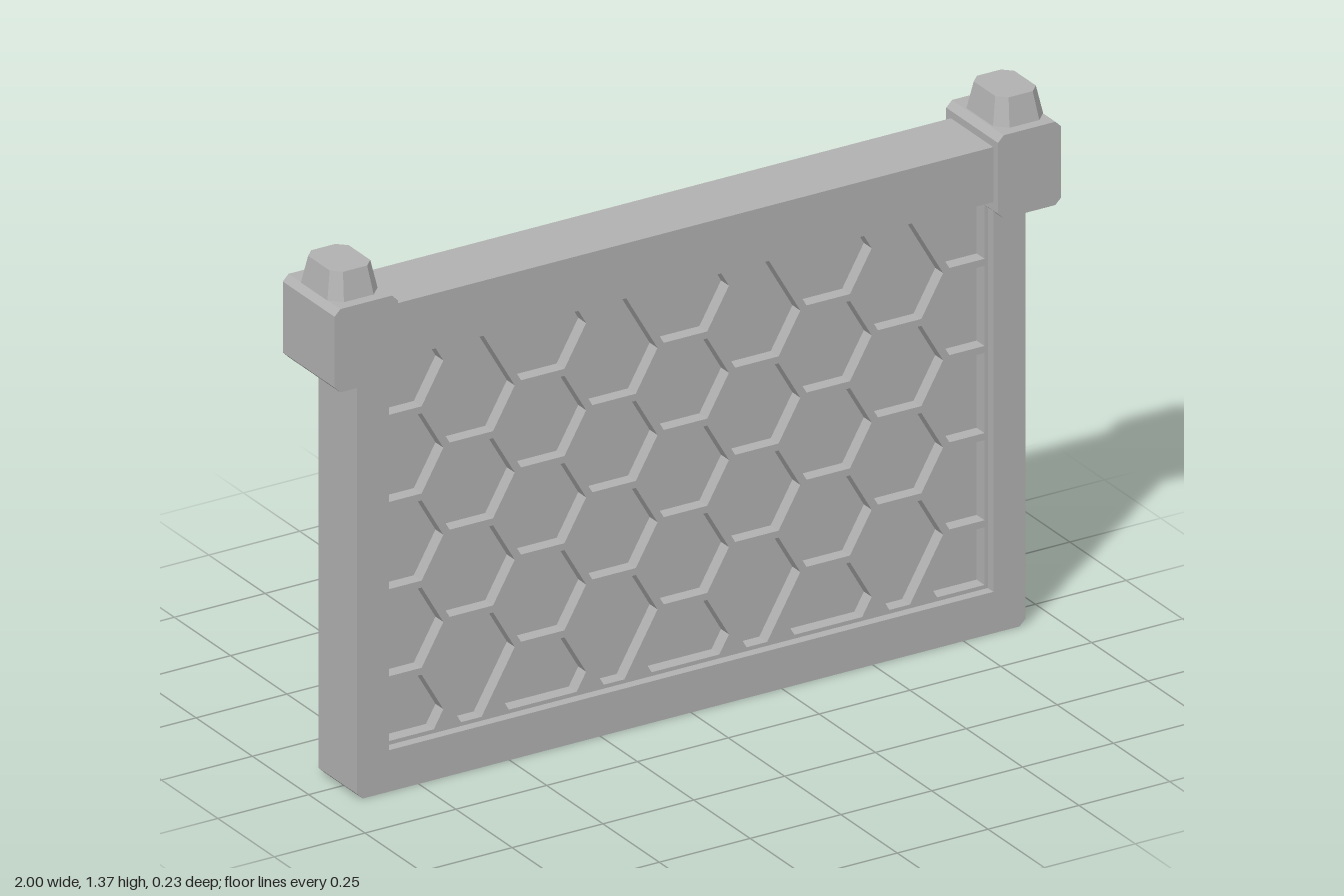
import * as THREE from 'three';

const stone = new THREE.MeshStandardMaterial({ color: 0xb0b0b0 });
stone.name = 'greyStone';

const toVecs = (pts) => pts.map(([x, y]) => new THREE.Vector2(x, y));

// Rectangle outline with cut corners
function cutRect(x0, y0, x1, y1, cb, ct = cb) {
  const pts = [[x0 + cb, y0], [x1 - cb, y0], [x1, y0 + cb]];
  pts.push([x1, y1 - ct], [x1 - ct, y1], [x0 + ct, y1], [x0, y1 - ct], [x0, y0 + cb]);
  return pts;
}
const rect = (x0, y0, x1, y1) => [[x0, y0], [x1, y0], [x1, y1], [x0, y1]];

// Extrude an outline symmetrically about z = 0
function slab(outline, holes, halfDepth) {
  const shape = new THREE.Shape(toVecs(outline));
  for (const h of holes) shape.holes.push(new THREE.Path(toVecs(h)));
  const geo = new THREE.ExtrudeGeometry(shape, { depth: 2 * halfDepth, bevelEnabled: false });
  return geo.translate(0, 0, -halfDepth);
}

// Keep the part of a polygon where nx*x + ny*y <= d
function clip(poly, nx, ny, d) {
  const out = [];
  poly.forEach((a, i) => {
    const b = poly[(i + 1) % poly.length];
    const da = nx * a[0] + ny * a[1] - d;
    const db = nx * b[0] + ny * b[1] - d;
    if (da <= 0) out.push(a);
    if ((da < 0 && db > 0) || (da > 0 && db < 0)) {
      const t = da / (da - db);
      out.push([a[0] + t * (b[0] - a[0]), a[1] + t * (b[1] - a[1])]);
    }
  });
  return out;
}

// Hexagonal openings, trimmed to the window; end cells of odd columns run on to the border
function hexCells() {
  const cells = [];
  const pitch = 0.225, dx = 0.1965, inset = 0.1035;
  for (let c = -4; c <= 4; c++) {
    const odd = Math.abs(c) % 2 === 1;
    const rows = odd ? 4 : 5;
    for (let r = 0; r < rows; r++) {
      const cx = c * dx;
      const cy = 0.6125 + (r - (rows - 1) / 2) * pitch;
      let cell = rect(-0.823, 0.117, 0.823, 1.11);
      for (let k = 0; k < 6; k++) {
        if (odd && ((k === 1 && r === rows - 1) || (k === 4 && r === 0))) continue;
        const a = Math.PI / 6 + k * Math.PI / 3;
        const nx = Math.cos(a), ny = Math.sin(a);
        cell = clip(cell, nx, ny, nx * cx + ny * cy + inset);
      }
      if (cell.length > 2) cells.push(cell);
    }
  }
  return cells;
}

// Tapered finial with cut corners, standing on y = 0
function finialGeometry() {
  const h = 0.07;
  const shape = new THREE.Shape(toVecs(cutRect(-0.069, -0.087, 0.069, 0.087, 0.028)));
  const geo = new THREE.ExtrudeGeometry(shape, { depth: h, bevelEnabled: false });
  geo.rotateX(-Math.PI / 2);
  const p = geo.attributes.position;
  for (let i = 0; i < p.count; i++) {
    if (p.getY(i) > h / 2) p.setXYZ(i, p.getX(i) * 0.81, h, p.getZ(i) * 0.81);
  }
  geo.computeVertexNormals();
  return geo;
}

export function createModel() {
  const group = new THREE.Group();
  group.name = 'hexPanelWall';
  const add = (name, geo, x = 0, y = 0, z = 0) => {
    const mesh = new THREE.Mesh(geo, stone);
    mesh.name = name;
    mesh.position.set(x, y, z);
    group.add(mesh);
    return mesh;
  };

  // Surrounding frame with cut bottom corners
  const opening = rect(-0.832, 0.107, 0.832, 1.118);
  add('frame', slab(cutRect(-0.92, 0, 0.92, 1.2, 0.016), [opening], 0.085));

  // Honeycomb lattice standing proud of the inner panel on both sides
  add('hexLattice', slab(rect(-0.84, 0.1, 0.84, 1.13), hexCells(), 0.06));
  add('innerPanel', new THREE.BoxGeometry(1.68, 1.03, 0.05), 0, 0.615);

  // Top rail
  add('topRail', new THREE.BoxGeometry(1.68, 0.142, 0.188), 0, 1.189);

  // Post caps and finials
  const cap = slab(cutRect(-0.087, 1.08, 0.087, 1.295, 0.016), [], 0.115);
  const finial = finialGeometry();
  for (const [side, s] of [['left', 1], ['right', -1]]) {
    add(side + 'PostCap', cap, s * 0.913);
    add(side + 'Finial', finial, s * 0.916, 1.295);
  }
  return group;
}
